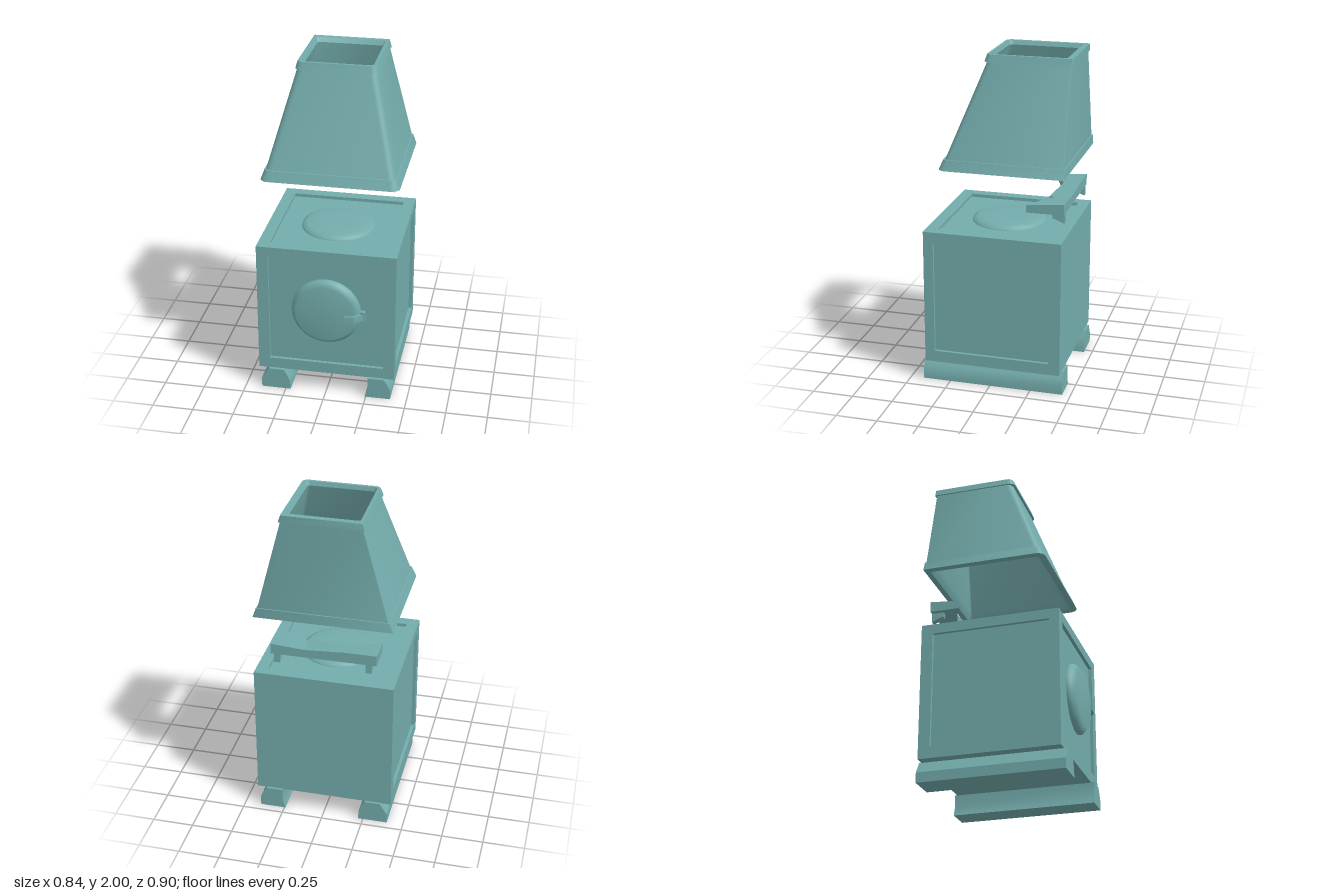
import * as THREE from 'three';
import { toCreasedNormals } from 'three/addons/utils/BufferGeometryUtils.js';

const material = new THREE.MeshStandardMaterial({ color: 0x74acac });

function add(parent, name, geometry) {
  const mesh = new THREE.Mesh(geometry, material);
  mesh.name = name;
  parent.add(mesh);
  return mesh;
}

function box(x0, x1, y0, y1, z0, z1) {
  return new THREE.BoxGeometry(x1 - x0, y1 - y0, z1 - z0)
    .translate((x0 + x1) / 2, (y0 + y1) / 2, (z0 + z1) / 2);
}

const polygon = pts => new THREE.Shape(pts.map(p => new THREE.Vector2(p[0], p[1])));

function extrude(pts, depth, hole) {
  const shape = polygon(pts);
  if (hole) shape.holes.push(polygon(hole));
  return new THREE.ExtrudeGeometry(shape, { depth, bevelEnabled: false });
}

const rect = (x0, x1, y0, y1) => [[x0, y0], [x1, y0], [x1, y1], [x0, y1]];

function lathe(pts) {
  return new THREE.LatheGeometry(pts.map(p => new THREE.Vector2(p[0], p[1])), 48);
}

// Horizontal section, counterclockwise from above, with rounded corners
function section([hx, zFront, zBack, y, rFront, rBack]) {
  const corners = [
    [hx - rFront, zFront - rFront, rFront, 0], [hx - rBack, zBack + rBack, rBack, 1],
    [rBack - hx, zBack + rBack, rBack, 2], [rFront - hx, zFront - rFront, rFront, 3],
  ];
  const steps = 5, ring = [];
  for (const [cx, cz, r, quarter] of corners) {
    for (let i = 0; i <= steps; i++) {
      const a = (quarter - 1 + i / steps) * Math.PI / 2;
      ring.push([cx + r * Math.cos(a), y, cz - r * Math.sin(a)]);
    }
  }
  return ring;
}

// Skin a closed loop of sections: up the outside, down the inside
function loft(levels) {
  const rings = levels.map(section), n = rings[0].length, position = [], index = [];
  rings.forEach(r => r.forEach(p => position.push(...p)));
  for (let l = 0; l < rings.length; l++) {
    const m = (l + 1) % rings.length;
    for (let i = 0; i < n; i++) {
      const j = (i + 1) % n;
      const a = l * n + i, b = l * n + j, c = m * n + j, d = m * n + i;
      index.push(a, b, c, a, c, d);
    }
  }
  const g = new THREE.BufferGeometry();
  g.setAttribute('position', new THREE.Float32BufferAttribute(position, 3));
  g.setIndex(index);
  return toCreasedNormals(g, 0.6);
}

function createStove() {
  const stove = new THREE.Group();
  stove.name = 'stove';
  // Core with a raised frame on the front, both sides and top
  add(stove, 'stoveCore', box(-0.4, 0.4, 0.13, 0.94, -0.435, 0.38));
  add(stove, 'frontFrame', extrude(rect(-0.4, 0.4, 0.13, 0.96), 0.02, rect(-0.35, 0.35, 0.2, 0.9))
    .translate(0, 0, 0.38));
  add(stove, 'topFrame', extrude(rect(-0.4, 0.4, -0.435, 0.38), 0.02, rect(-0.35, 0.35, -0.365, 0.33))
    .rotateX(Math.PI / 2).translate(0, 0.96, 0));
  for (const side of [-1, 1]) {
    add(stove, side > 0 ? 'leftFrame' : 'rightFrame',
      extrude(rect(-0.435, 0.4, 0.13, 0.96), 0.02, rect(-0.365, 0.34, 0.2, 0.9))
        .rotateY(-Math.PI / 2).translate(side > 0 ? 0.42 : -0.4, 0, 0));
  }
  // Cooking plate on top
  add(stove, 'hotPlate', lathe([[0.225, 0.938], [0.22, 0.952], [0.19, 0.967], [0.1, 0.968], [0, 0.968]])
    .translate(0, 0, -0.015));
  // Round door with its latch
  add(stove, 'door', lathe([[0.21, 0.38], [0.21, 0.395], [0.2, 0.405], [0.175, 0.433], [0, 0.434]])
    .rotateX(Math.PI / 2).translate(0, 0.56, 0));
  const bar = [[0.12, 0.455], [0.12, 0.443], [0.165, 0.434], [0.2, 0.405], [0.2, 0.39],
    [0.23, 0.39], [0.23, 0.405], [0.205, 0.425], [0.175, 0.448]];
  add(stove, 'latchHandle', extrude(bar, 0.04).rotateX(Math.PI / 2).translate(0, 0.567, 0));
  add(stove, 'latchMount', box(0.21, 0.236, 0.51, 0.583, 0.375, 0.408));
  return stove;
}

function createShelf() {
  const shelf = new THREE.Group();
  shelf.name = 'shelf';
  // Slab with a notched front edge: columns of [x, front z, dip of the top]
  const columns = [[-0.315, -0.25, 0], [-0.125, -0.32, 0], [0.098, -0.287, 0.014],
    [0.115, -0.32, 0.015], [0.137, -0.28, 0.013], [0.315, -0.2, 0]];
  const slab = new THREE.BoxGeometry(5, 1, 1, 5, 1, 1);
  const p = slab.attributes.position;
  for (let i = 0; i < p.count; i++) {
    const [x, front, dip] = columns[Math.round(p.getX(i) + 2.5)];
    const z = p.getZ(i) > 0 ? front : -0.425;
    const y = p.getY(i) > 0 ? 1.165 - dip - 0.09 * (z + 0.425) : 1.1;
    p.setXYZ(i, x, y, z);
  }
  add(shelf, 'shelfSlab', toCreasedNormals(slab, 0.1));
  // Two wedge brackets beneath
  const bracket = [[-0.425, 1.045], [-0.355, 1.072], [-0.35, 1.105], [-0.425, 1.105]];
  for (const x of [-0.25, 0.295]) {
    add(shelf, 'shelfBracket', extrude(bracket, 0.037).rotateY(-Math.PI / 2).translate(x, 0, 0));
  }
  return shelf;
}

export function createModel() {
  const model = new THREE.Group();
  model.name = 'stoveWithHood';

  // Long rounded runners under the stove
  const feet = {
    rightFoot: [[-0.4, 0], [-0.22, 0], [-0.223, 0.055], [-0.238, 0.09], [-0.26, 0.132],
      [-0.355, 0.132], [-0.378, 0.095], [-0.4, 0.06]],
    leftFoot: [[0.243, 0], [0.4, 0], [0.4, 0.06], [0.383, 0.095], [0.36, 0.132],
      [0.26, 0.132], [0.26, 0.05]],
  };
  for (const name in feet) {
    add(model, name, toCreasedNormals(extrude(feet[name], 0.87).translate(0, 0, -0.45), 0.5));
  }

  model.add(createStove(), createShelf());

  // Hollow hood with a flared rim at both ends: [half width, front z, back z, y, front radius, back radius]
  add(model, 'hood', loft([
    [0.412, 0.31, -0.443, 1.34, 0.05, 0.006],
    [0.39, 0.285, -0.443, 1.4, 0.04, 0.006],
    [0.383, 0.275, -0.436, 1.4, 0.04, 0.006],
    [0.235, 0.062, -0.436, 1.957, 0.04, 0.006],
    [0.245, 0.077, -0.445, 1.957, 0.04, 0.006],
    [0.232, 0.062, -0.445, 2, 0.035, 0.006],
    [0.212, 0.045, -0.41, 2, 0.025, 0.012],
    [0.2, 0.038, -0.39, 1.975, 0.02, 0.008],
    [0.345, 0.24, -0.395, 1.39, 0.03, 0.008],
    [0.37, 0.27, -0.41, 1.34, 0.035, 0.008],
  ]));
  return model;
}
